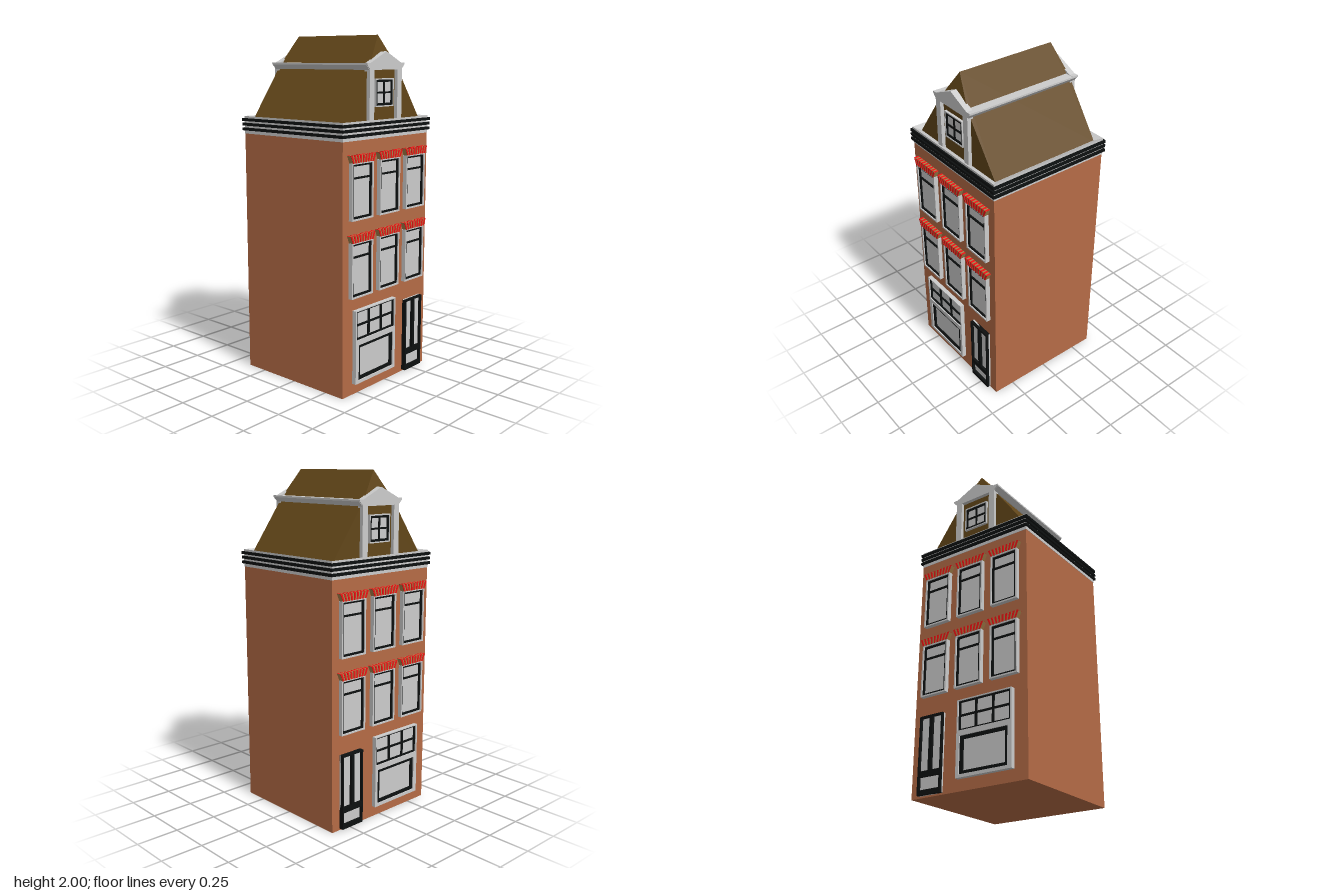
import * as THREE from 'three';
import { ConvexGeometry } from 'three/addons/geometries/ConvexGeometry.js';

const mat = (color) => new THREE.MeshStandardMaterial({ color, flatShading: true });
const GREY = mat(0xcccccc), BLACK = mat(0x0d1010), BRICK = mat(0xb56b46);
const ROOF = mat(0x624619), RED = mat(0xf01414), TAN = mat(0xa8824c);

function add(parent, name, geometry, material) {
  const mesh = new THREE.Mesh(geometry, material);
  mesh.name = name;
  parent.add(mesh);
  return mesh;
}

function box(parent, name, w, h, d, x, y, z, material) {
  add(parent, name, new THREE.BoxGeometry(w, h, d), material).position.set(x, y, z);
}

const rect = (z0, z1, y0, y1) => [[z0, y0], [z1, y0], [z1, y1], [z0, y1]];
const toVec = (pts) => pts.map(([z, y]) => new THREE.Vector2(z, y));

// Outline in (z, y), extruded along x between x0 and x1
function slab(parent, name, outline, x0, x1, material, holes = []) {
  const shape = new THREE.Shape(toVec(outline));
  for (const h of holes) shape.holes.push(new THREE.Path(toVec(h)));
  const depth = Math.abs(x1 - x0);
  const geo = new THREE.ExtrudeGeometry(shape, { depth, bevelEnabled: false });
  geo.translate(0, 0, -depth / 2).rotateY(-Math.PI / 2).translate((x0 + x1) / 2, 0, 0);
  return add(parent, name, geo, material);
}

// Grey casing, black sash with pane openings, and recessed glazing
function windowUnit(parent, s, name, casing, sashes) {
  const g = new THREE.Group();
  g.name = name;
  parent.add(g);
  const [front, mid, back, wall] = [0.406, 0.399, 0.39, 0.375].map((x) => x * s);
  if (casing) slab(g, 'casing', rect(...casing), wall, front, GREY, sashes.map((q) => rect(...q.outer)));
  for (const { outer, panes } of sashes) {
    slab(g, 'sash', rect(...outer), wall, casing ? mid : front, BLACK, panes.map((p) => rect(...p)));
    slab(g, 'glazing', rect(...outer), wall, back, GREY);
  }
  return g;
}

// Fanned brick arch above a window
function lintel(parent, s, z, y) {
  const g = new THREE.Group();
  g.name = 'lintel';
  parent.add(g);
  const h = 0.042, lo = 0.087, hi = 0.105, slots = 17;
  slab(g, 'mortar', [[z - lo, y], [z + lo, y], [z + hi, y + h - 0.001], [z - hi, y + h - 0.001]], s * 0.375, s * 0.407, TAN);
  for (let i = 0; i < slots; i += 2) {
    const a = (2 * i) / slots - 1, b = (2 * (i + 1)) / slots - 1;
    slab(g, 'archBrick', [[z + a * lo, y], [z + b * lo, y], [z + b * hi, y + h], [z + a * hi, y + h]], s * 0.375, s * 0.41, RED);
  }
}

function facade(s) {
  const g = new THREE.Group();
  g.name = s > 0 ? 'leftFacade' : 'rightFacade';

  // Two storeys of three windows
  for (const [y0, y1] of [[0.57, 0.885], [1.007, 1.322]]) {
    for (const z of [-0.24, 0, 0.24]) {
      const t = y1 - 0.083;
      windowUnit(g, s, 'upperWindow', [z - 0.09, z + 0.09, y0, y1], [{
        outer: [z - 0.081, z + 0.081, y0 + 0.009, y1 - 0.007],
        panes: [
          [z - 0.07, z + 0.07, y0 + 0.02, t - 0.005],
          [z - 0.07, z + 0.07, t + 0.005, y1 - 0.018],
        ],
      }]);
      lintel(g, s, z, y1);
    }
  }

  // Shop window: six small lights above one large pane
  const lights = [];
  for (const [z0, z1] of [[-0.044, 0.054], [0.066, 0.166], [0.178, 0.276]])
    for (const [y0, y1] of [[0.331, 0.402], [0.412, 0.481]]) lights.push([z0, z1, y0, y1]);
  windowUnit(g, s, 'shopWindow', [-0.062, 0.296, 0.065, 0.495], [
    { outer: [-0.054, 0.286, 0.322, 0.489], panes: lights },
    { outer: [-0.042, 0.27, 0.083, 0.292], panes: [[-0.021, 0.25, 0.102, 0.273]] },
  ]);

  // Door with two tall panes and a low panel
  windowUnit(g, s, 'door', null, [{
    outer: [-0.323, -0.164, 0.01, 0.452],
    panes: [
      [-0.314, -0.254, 0.14, 0.441],
      [-0.233, -0.173, 0.14, 0.441],
      [-0.312, -0.175, 0.037, 0.108],
    ],
  }]);

  // Dormer surround: pilasters joined by a pediment
  const half = [[0.103, 1.52], [0.143, 1.52], [0.143, 1.815], [0.166, 1.838], [0.166, 1.847], [0.138, 1.847]];
  const outline = [[0.103, 1.81], ...half, [0, 1.91],
    ...half.slice().reverse().map(([z, y]) => [-z, y]), [-0.103, 1.81]];
  slab(g, 'dormerSurround', outline, s * 0.33, s * 0.367, GREY);

  // Dormer window
  const panes = [];
  for (const z of [-0.062, 0.005])
    for (const y of [1.627, 1.69]) panes.push(rect(z, z + 0.057, y, y + 0.053));
  slab(g, 'dormerCasing', rect(-0.08, 0.08, 1.607, 1.763), s * 0.335, s * 0.359, GREY, [rect(-0.074, 0.074, 1.614, 1.756)]);
  slab(g, 'dormerSash', rect(-0.074, 0.074, 1.614, 1.756), s * 0.335, s * 0.355, BLACK, panes);
  slab(g, 'dormerGlazing', rect(-0.074, 0.074, 1.614, 1.756), s * 0.335, s * 0.349, GREY);
  return g;
}

export function createModel() {
  const model = new THREE.Group();
  model.name = 'canalHouse';

  box(model, 'brickBody', 0.76, 1.44, 0.76, 0, 0.72, 0, BRICK);

  // Square cornice with an inward-sloping gutter
  const profile = [[0, 1.438], [0.382, 1.438], [0.382, 1.54], [0.345, 1.522], [0, 1.522]]
    .map(([r, y]) => new THREE.Vector2(r * Math.SQRT2, y));
  add(model, 'cornice', new THREE.LatheGeometry(profile, 4, Math.PI / 4), GREY);
  for (const y of [1.465, 1.493, 1.52]) {
    const ring = new THREE.Shape(toVec(rect(-0.392, 0.392, -0.392, 0.392)));
    ring.holes.push(new THREE.Path(toVec(rect(-0.375, 0.375, -0.375, 0.375))));
    const geo = new THREE.ExtrudeGeometry(ring, { depth: 0.016, bevelEnabled: false });
    geo.rotateX(-Math.PI / 2).translate(0, y - 0.008, 0);
    add(model, 'corniceBand', geo, BLACK);
  }

  // Half-hipped roof
  const pts = [];
  for (const sx of [-1, 1]) {
    for (const sz of [-1, 1])
      for (const y of [1.515, 1.835]) pts.push(new THREE.Vector3(sx * 0.345, y, sz * 0.719 * (2 - y)));
    pts.push(new THREE.Vector3(sx * 0.305, 2, 0));
  }
  add(model, 'roof', new ConvexGeometry(pts), ROOF);

  // Eaves mouldings running along both roof slopes
  for (const sz of [-1, 1]) {
    const moulding = [[0.1, 1.81], [0.143, 1.81], [0.166, 1.836], [0.166, 1.846], [0.1, 1.846]];
    slab(model, 'roofMoulding', moulding.map(([z, y]) => [z * sz, y]), -0.362, 0.362, GREY);
  }

  model.add(facade(1), facade(-1));
  return model;
}
